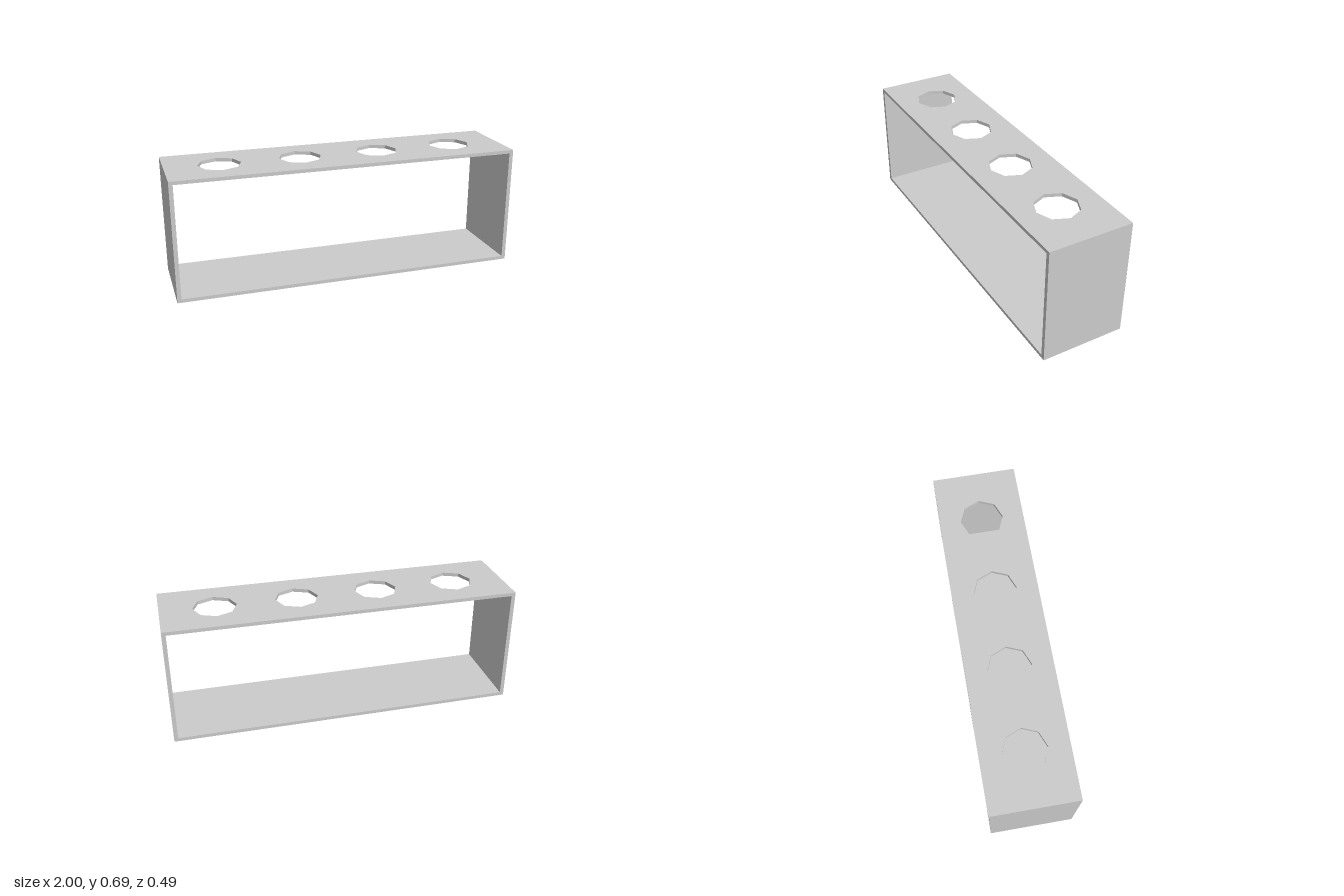
import * as THREE from 'three';

const WIDTH = 2, HEIGHT = 0.695, DEPTH = 0.486, WALL = 0.023, PLATE = 0.02;
const HOLE_RADIUS = 0.123, HOLE_SPACING = 0.463, HOLE_COUNT = 4, HOLE_SIDES = 8;

export function createModel() {
  const group = new THREE.Group();
  group.name = 'rack';
  const material = new THREE.MeshStandardMaterial({ color: 0xcccccc, flatShading: true });

  const add = (name, geometry, x, y, z) => {
    const mesh = new THREE.Mesh(geometry, material);
    mesh.name = name;
    mesh.position.set(x, y, z);
    group.add(mesh);
    return mesh;
  };

  // Bottom board and the two side walls
  add('bottomPanel', new THREE.BoxGeometry(WIDTH, PLATE, DEPTH), 0, PLATE / 2, 0);
  const sideHeight = HEIGHT - 2 * PLATE;
  for (const [name, side] of [['leftWall', 1], ['rightWall', -1]]) {
    add(name, new THREE.BoxGeometry(WALL, sideHeight, DEPTH), side * (WIDTH - WALL) / 2, HEIGHT / 2, 0);
  }

  // Top board with a row of octagonal holes
  const w = WIDTH / 2, d = DEPTH / 2;
  const board = new THREE.Shape([
    new THREE.Vector2(-w, -d), new THREE.Vector2(w, -d),
    new THREE.Vector2(w, d), new THREE.Vector2(-w, d),
  ]);
  for (let i = 0; i < HOLE_COUNT; i++) {
    const cx = (i - (HOLE_COUNT - 1) / 2) * HOLE_SPACING;
    const corners = [];
    for (let k = 0; k < HOLE_SIDES; k++) {
      const a = -k * 2 * Math.PI / HOLE_SIDES;
      corners.push(new THREE.Vector2(cx + HOLE_RADIUS * Math.cos(a), HOLE_RADIUS * Math.sin(a)));
    }
    board.holes.push(new THREE.Path(corners).closePath());
  }
  const top = new THREE.ExtrudeGeometry(board, { depth: PLATE, bevelEnabled: false });
  top.rotateX(-Math.PI / 2);
  add('topPanel', top, 0, HEIGHT - PLATE, 0);

  return group;
}
